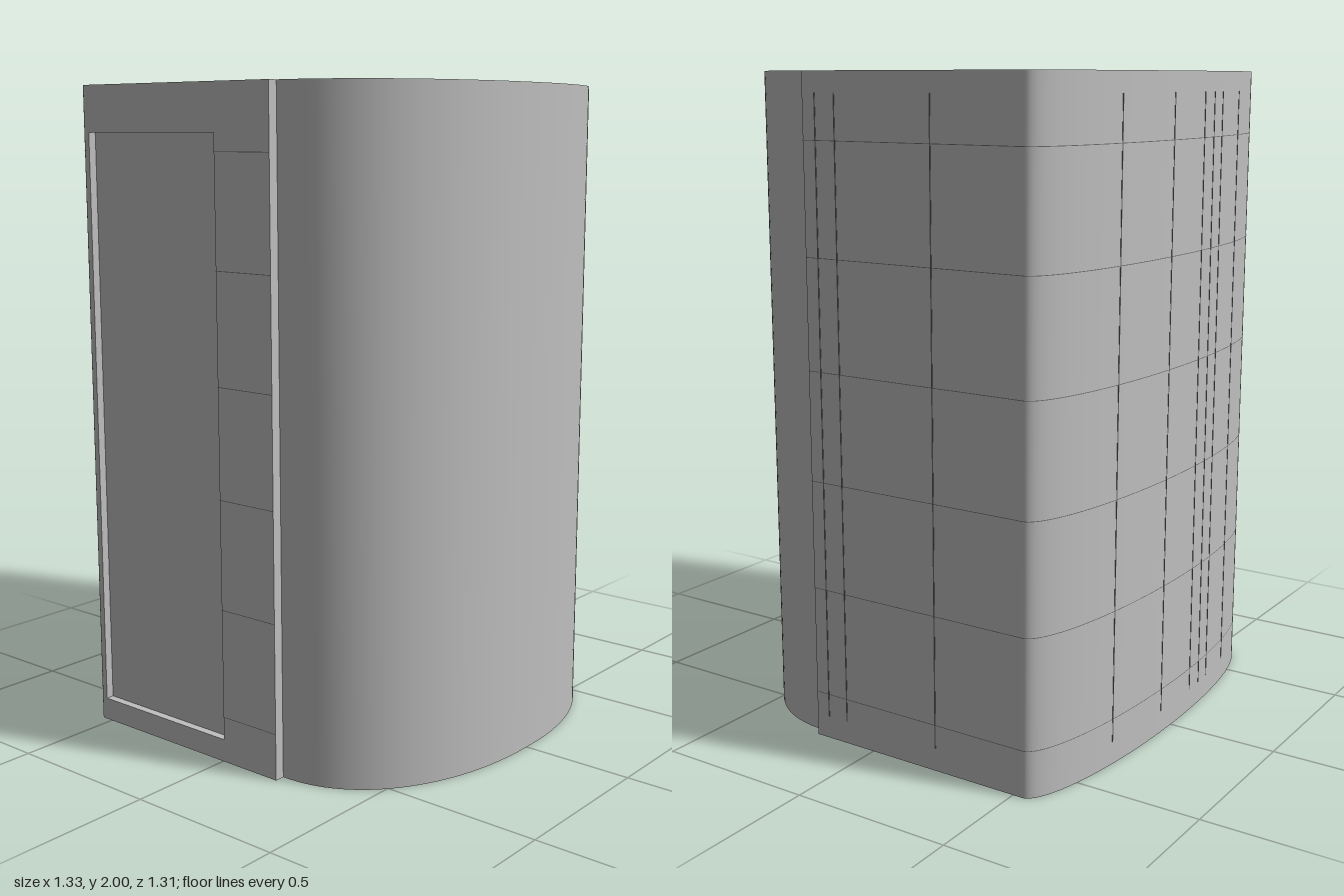
import * as THREE from 'three';
import { toCreasedNormals } from 'three/addons/utils/BufferGeometryUtils.js';

const H = 2, FRONT = 0.215, BACK = -0.53;         // height, front edge of the shell, start of the back curve
const REC = { z0: -0.52, z1: 0.005, y0: 0.07, y1: 1.86, depth: 0.025 };

// Half-ellipse back curve from +x to -x, as [x, z]
function backCurve(a, b, n = 56) {
  return Array.from({ length: n + 1 }, (_, i) => {
    const t = Math.PI * i / n;
    return [a * Math.cos(t), BACK - b * Math.sin(t)];
  });
}

// Upright open sheet along a plan path
function sheet(path, y0, y1) {
  const pos = [], idx = [];
  path.forEach(([x, z], i) => {
    pos.push(x, y0, z, x, y1, z);
    if (i) { const k = 2 * i; idx.push(k - 2, k, k - 1, k, k + 1, k - 1); }
  });
  const g = new THREE.BufferGeometry();
  g.setAttribute('position', new THREE.Float32BufferAttribute(pos, 3));
  g.setIndex(idx);
  g.computeVertexNormals();
  return g;
}

export function createModel() {
  const group = new THREE.Group();
  const grey = new THREE.MeshStandardMaterial({ color: 0xbfbfbf });
  const sheetGrey = new THREE.MeshStandardMaterial({ color: 0xbfbfbf, side: THREE.DoubleSide });
  const seamGrey = new THREE.MeshStandardMaterial({ color: 0x6a6a6a, side: THREE.DoubleSide });
  const add = (name, geo, mat) => {
    const m = new THREE.Mesh(geo, mat);
    m.name = name;
    group.add(m);
    return m;
  };

  // Thick U-shaped shell; its -x wall is thinned where the recessed panel sits
  const xo = 0.665, xi = 0.632, xr = xo - REC.depth;
  const plan = [
    [xo, FRONT], ...backCurve(xo, 0.125),
    [-xo, REC.z0], [-xr, REC.z0], [-xr, REC.z1], [-xo, REC.z1], [-xo, FRONT],
    [-xi, FRONT], ...backCurve(xi, 0.093).reverse(), [xi, FRONT],
  ];
  const shape = new THREE.Shape(plan.map(([x, z]) => new THREE.Vector2(x, -z)));
  const shell = new THREE.ExtrudeGeometry(shape, { depth: H, bevelEnabled: false });
  shell.rotateX(-Math.PI / 2);
  add('backShell', toCreasedNormals(shell, 0.6), grey);

  // Wall above and below the recessed panel
  for (const [name, y0, y1] of [['recessSill', 0, REC.y0], ['recessHeader', REC.y1, H]]) {
    const bar = add(name, new THREE.BoxGeometry(REC.depth, y1 - y0, REC.z1 - REC.z0), grey);
    bar.position.set(-xo + REC.depth / 2, (y0 + y1) / 2, (REC.z0 + REC.z1) / 2);
  }

  // Thin bowed front sheet
  const bow = Array.from({ length: 65 }, (_, i) => {
    const t = Math.PI * i / 64, e = 2 / 2.2, c = Math.cos(t);
    return [-Math.sign(c) * 0.634 * Math.abs(c) ** e, FRONT + 0.435 * Math.abs(Math.sin(t)) ** e];
  });
  add('frontSheet', sheet(bow, 0, H), sheetGrey);

  // Fine horizontal seams around the shell, broken at the recess
  const off = 0.001, xs = xo + off;
  for (let k = 0; k < 6; k++) {
    const y = 1.807 - k * 0.333;
    add('horizontalSeam', sheet([[xs, FRONT], ...backCurve(xs, 0.125 + off)], y - 0.001, y + 0.001), seamGrey);
    add('horizontalSeam', sheet([[-xs, REC.z1], [-xs, FRONT]], y - 0.001, y + 0.001), seamGrey);
  }

  // Fine vertical seams on the +x side and across the back
  const seam = new THREE.BoxGeometry(0.004, 1.87, 0.002);
  for (const z of [0.17, 0.1, -0.23]) {
    const s = add('sideSeam', seam, seamGrey);
    s.position.set(xo, 1.005, z);
    s.rotation.y = Math.PI / 2;
  }
  for (const x of [0.34, 0.067, -0.13, -0.2, -0.265, -0.415]) {
    const r = Math.sqrt(1 - (x / xo) ** 2);
    const s = add('backSeam', seam, seamGrey);
    s.position.set(x, 1.005, BACK - 0.125 * r);
    s.rotation.y = -Math.atan(0.125 * x / (xo * xo * r));
  }
  return group;
}
